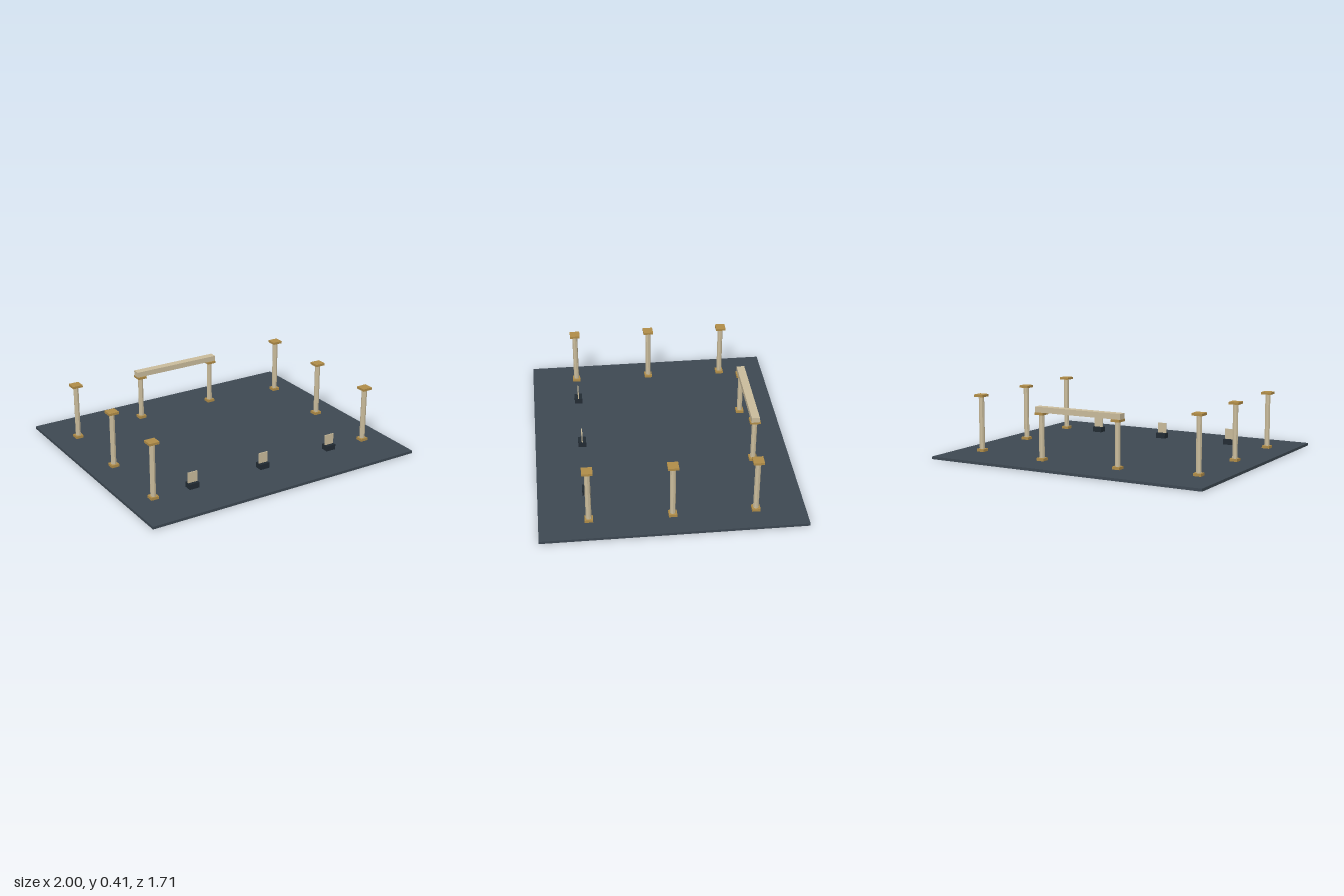
import * as THREE from 'three';

const material = (color, flatShading = false) => {
  const m = new THREE.MeshStandardMaterial({ color });
  m.flatShading = flatShading;
  return m;
};
const slate = material(0x3d4852);
const dark = material(0x222b33);
const stone = material(0xc9bb9b, true);
const gold = material(0xb08c48);

const FLOOR = 0.018;

// Box placed by its underside
function box(name, w, h, d, mat, x, y, z) {
  const mesh = new THREE.Mesh(new THREE.BoxGeometry(w, h, d), mat);
  mesh.name = name;
  mesh.position.set(x, y + h / 2, z);
  return mesh;
}

// Square base, eight-sided shaft and flat capital
function column(name, x, z, top, capWidth) {
  const g = new THREE.Group();
  g.name = name;
  g.position.set(x, FLOOR, z);
  const h = top - FLOOR;
  const shaftHeight = h - 0.034;
  const shaft = new THREE.Mesh(new THREE.CylinderGeometry(0.0185, 0.0185, shaftHeight, 8), stone);
  shaft.name = 'shaft';
  shaft.position.y = 0.018 + shaftHeight / 2;
  g.add(
    box('columnBase', 0.054, 0.018, 0.054, gold, 0, 0, 0),
    shaft,
    box('capital', capWidth, 0.016, 0.07, gold, 0, h - 0.016, 0)
  );
  return g;
}

export function createModel() {
  const model = new THREE.Group();
  model.name = 'colonnadeCourt';

  model.add(box('floor', 2, FLOOR, 1.714, slate, 0, 0, 0));

  // Side columns
  for (const x of [-0.821, 0.821])
    for (const z of [-0.536, 0, 0.536]) model.add(column('sideColumn', x, z, 0.411, 0.071));

  // Gateway at the back
  const gate = new THREE.Group();
  gate.name = 'gateway';
  for (const x of [-0.286, 0.286]) gate.add(column('gateColumn', x, -0.607, 0.339, 0.064));
  gate.add(box('lintel', 0.64, 0.037, 0.054, stone, 0, 0.339, -0.607));
  model.add(gate);

  // Upright plaques on dark plinths along the front
  for (const x of [-0.536, 0, 0.536]) {
    const marker = new THREE.Group();
    marker.name = 'marker';
    marker.add(
      box('plinth', 0.071, 0.037, 0.054, dark, x, FLOOR, 0.536),
      box('plaque', 0.068, 0.072, 0.007, stone, x, FLOOR + 0.037, 0.536)
    );
    model.add(marker);
  }
  return model;
}
